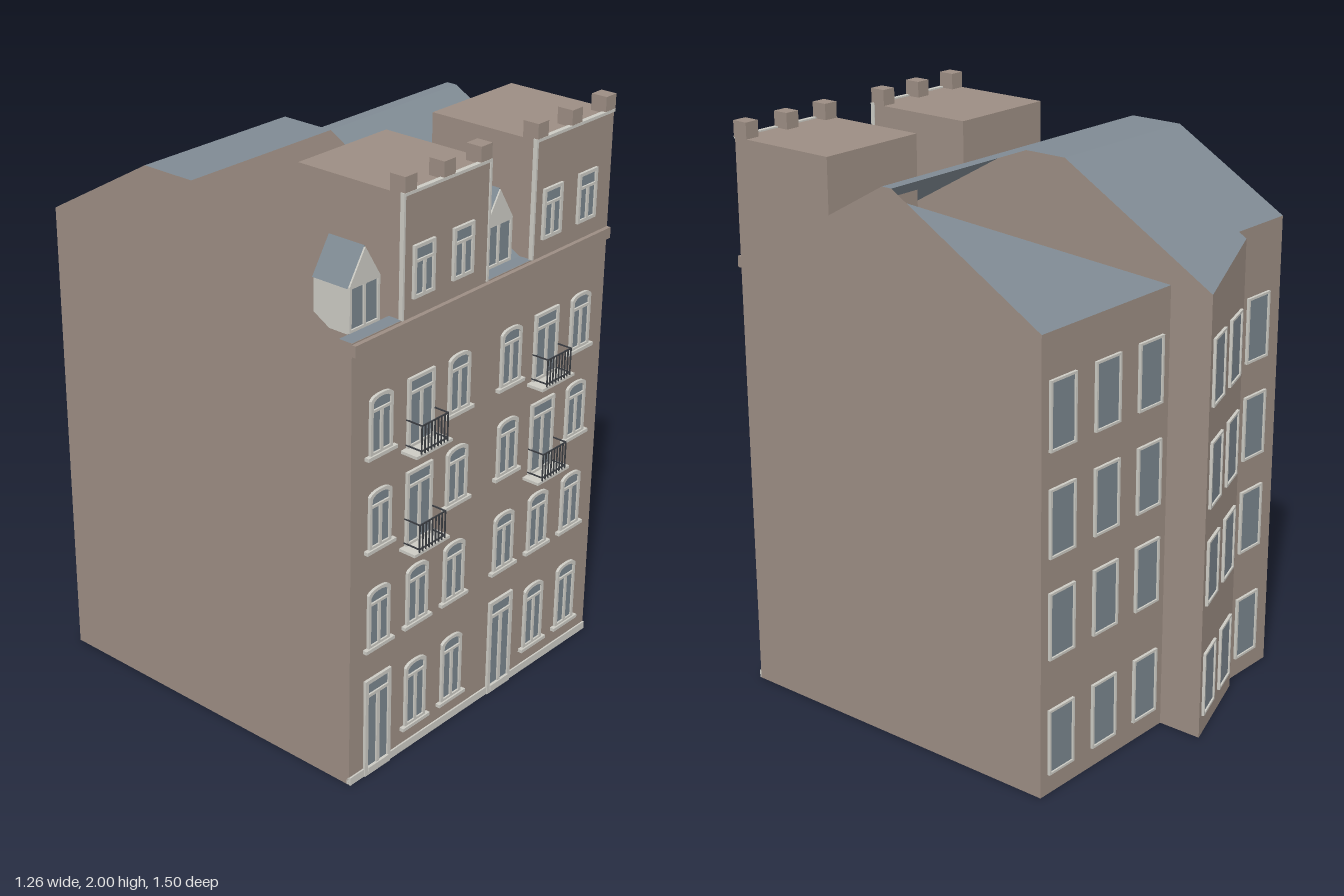
import * as THREE from 'three';

const mat = (name, color) => new THREE.MeshStandardMaterial({ name, color, side: THREE.DoubleSide });

export function createModel() {
  const wall = mat('wall brown', 0x9c8d83);
  const slate = mat('slate blue', 0x7f8a93);
  const glass = mat('glass blue', 0x7a858e);
  const cream = mat('cream trim', 0xcbcac3);
  const iron = mat('dark iron', 0x3a3d42);
  const root = new THREE.Group();
  const W = 0.632, FZ = 0.685, BZ = -0.59, P = -0.006; // half width, front, back, party wall

  const add = (name, geo, m, parent = root) => {
    const mesh = new THREE.Mesh(geo, m);
    mesh.name = name;
    parent.add(mesh);
    return mesh;
  };
  // box given by its minimum and maximum corners
  const box = (name, [x0, y0, z0], [x1, y1, z1], m, parent) =>
    add(name, new THREE.BoxGeometry(x1 - x0, y1 - y0, z1 - z0)
      .translate((x0 + x1) / 2, (y0 + y1) / 2, (z0 + z1) / 2), m, parent);
  // flat polygon as a fan from its first corner
  const poly = (name, pts, m, parent) => {
    const v = [];
    for (let i = 1; i < pts.length - 1; i++) v.push(...pts[0], ...pts[i], ...pts[i + 1]);
    const g = new THREE.BufferGeometry();
    g.setAttribute('position', new THREE.Float32BufferAttribute(v, 3));
    g.computeVertexNormals();
    return add(name, g, m, parent);
  };
  const backY = z => 1.89 + (z + 0.16) * 0.34 / 0.59; // rear roof height of the deeper house

  // ---- hollow shell: floor, front, gables, rear walls
  poly('floor', [[P, 0, BZ], [-0.375, 0, BZ], [-W, 0, BZ], [-W, 0, FZ], [W, 0, FZ], [W, 0, BZ]], wall);
  poly('rearFloor', [[P, 0, BZ], [P, 0, -0.75], [-0.375, 0, -0.62], [-0.375, 0, BZ]], wall);
  poly('frontWall', [[-W, 0, FZ], [W, 0, FZ], [W, 1.55, FZ], [-W, 1.55, FZ]], wall);
  const gable = (name, x, rear) => poly(name,
    [[rear[0][0], 0], [FZ, 0], [FZ, 1.55], [0.64, 1.55], [0.04, 1.89], ...rear.slice().reverse()]
      .map(([z, y]) => [x, y, z]), wall);
  gable('leftGable', W, [[BZ, 1.55], [0, 1.89]]);
  gable('rightGable', -W, [[BZ, backY(BZ)], [-0.16, 1.89]]);
  gable('partyWall', P, [[-0.75, 1.55], [-0.16, 1.89]]);
  const rearWall = (name, x0, z0, x1, z1, y0, y1) =>
    poly(name, [[x1, 0, z1], [x0, 0, z0], [x0, y0, z0], [x1, y1, z1]], wall);
  rearWall('rearWallLeft', P, BZ, W, BZ, 1.55, 1.55);
  rearWall('rearWallRight', -W, BZ, -0.375, BZ, backY(BZ), backY(BZ));
  rearWall('rearStep', -0.375, BZ, -0.375, -0.62, backY(BZ), backY(-0.62));
  rearWall('rearAngledWall', -0.375, -0.62, P, -0.75, backY(-0.62), 1.55);

  // ---- roofs, partly open
  poly('rearRoofRight', [[-0.375, BZ], [-W, BZ], [-W, -0.16], [P, -0.16], [P, -0.75], [-0.375, -0.62]]
    .map(([x, z]) => [x, backY(z), z]), slate);
  const flat = (name, x0, x1, z0, z1, y) =>
    poly(name, [[x0, y, z1], [x1, y, z1], [x1, y, z0], [x0, y, z0]], slate);
  flat('ridgeRight', -W, P, -0.16, 0.04, 1.89);
  flat('ridgeLeft', P, W, 0, 0.04, 1.89);
  poly('rearRoofLeft', [[P, 1.55, BZ], [W, 1.855, -0.06], [W, 1.55, BZ]], slate);
  poly('frontRoofLeft', [[P, 1.55, 0.64], [W, 1.55, 0.64], [W, 1.89, 0.04], [P, 1.89, 0.04]], slate);
  flat('eaveRight', -W, -0.41, 0.635, FZ, 1.551);
  flat('eaveLeft', P, 0.222, 0.635, FZ, 1.551);

  // ---- cornice and plinth
  box('cornice', [-W, 1.508, FZ - 0.01], [W, 1.546, 0.7], wall);
  box('plinth', [-W, 0, FZ - 0.01], [W, 0.028, FZ + 0.006], cream);

  // ---- framed opening: cream frame with panes cut out over a glass plate
  const rect = (x0, y0, x1, y1) => [[x0, y0], [x1, y0], [x1, y1], [x0, y1]].map(p => new THREE.Vector2(...p));
  function opening(name, parent, x, y, w, h, { arch = 0, panes = 2, top = 0.045, t = 0.011, sill = 0 } = {}) {
    const g = new THREE.Group();
    g.name = name;
    g.position.set(x, y, 0);
    parent.add(g);
    const outline = (hw, y0, y1) => {
      const s = new THREE.Shape();
      s.moveTo(-hw, y0).lineTo(hw, y0).lineTo(hw, y1 - arch);
      if (arch) s.quadraticCurveTo(hw * 0.8, y1, 0, y1).quadraticCurveTo(-hw * 0.8, y1, -hw, y1 - arch);
      else s.lineTo(-hw, y1);
      s.closePath();
      return s;
    };
    const s = outline(w / 2, 0, h);
    const inner = w / 2 - t, split = top ? h - t - top : h - t;
    const pw = (2 * inner - (panes - 1) * t) / panes;
    for (let i = 0; i < panes; i++) {
      const x0 = -inner + i * (pw + t);
      s.holes.push(new THREE.Path(rect(x0, t, x0 + pw, split)));
    }
    if (top) s.holes.push(new THREE.Path(outline(inner, split + t * 0.8, h - t).getPoints(6)));
    add('frame', new THREE.ExtrudeGeometry(s, { depth: 0.01, bevelEnabled: false, curveSegments: 6 }), cream, g);
    add('pane', new THREE.ShapeGeometry(outline(w / 2 - 0.003, 0.002, h - 0.002), 6), glass, g).position.z = 0.004;
    if (sill) box('sill', [-sill / 2, -0.009, 0], [sill / 2, 0.003, 0.016], cream, g);
    return g;
  }

  // ---- balcony with thin iron railing
  function balcony(parent, x, y) {
    const g = new THREE.Group();
    g.name = 'balcony';
    g.position.set(x, y, 0);
    parent.add(g);
    box('slab', [-0.086, -0.008, 0], [0.086, 0.002, 0.064], cream, g);
    const r = 0.002, hw = 0.062, zf = 0.064;
    for (const yy of [0.012, 0.098]) {
      box('rail', [-hw, yy - r, zf - 2 * r], [hw, yy + r, zf], iron, g);
      for (const sx of [-hw, hw]) box('sideRail', [sx - r, yy - r, 0], [sx + r, yy + r, zf], iron, g);
    }
    for (let i = 0; i <= 8; i++) {
      const bx = -hw + (2 * hw * i) / 8;
      box('bar', [bx - r, 0, zf - 2 * r], [bx + r, 0.1, zf], iron, g);
    }
  }

  // ---- dormer with a pointed roof
  function dormer(x) {
    const g = new THREE.Group();
    g.name = 'dormer';
    g.position.set(x, 0, 0);
    root.add(g);
    box('dormerBody', [-0.066, 1.55, 0.5], [0.066, 1.7, 0.632], cream, g);
    const s = new THREE.Shape([[-0.068, 1.7], [0.068, 1.7], [0, 1.808]].map(p => new THREE.Vector2(...p)));
    add('pediment', new THREE.ExtrudeGeometry(s, { depth: 0.142, bevelEnabled: false }), cream, g).position.z = 0.5;
    for (const sx of [-1, 1])
      poly('dormerRoof', [[sx * 0.073, 1.697, 0.5], [sx * 0.073, 1.697, 0.638],
        [0, 1.812, 0.638], [0, 1.812, 0.5]], slate, g);
    const f = new THREE.Group();
    f.position.z = 0.632;
    g.add(f);
    opening('dormerWindow', f, 0, 1.555, 0.134, 0.147, { top: 0, t: 0.009 });
  }

  // ---- the two matching street fronts
  const rows = [[0.09, 0.24], [0.475, 0.21], [0.83, 0.2], [1.153, 0.2]];
  for (const hx of [-0.632, 0]) {
    const f = new THREE.Group();
    f.name = 'streetFront';
    f.position.set(hx, 0, FZ);
    root.add(f);
    const cols = [0.129, 0.315, 0.5];
    rows.forEach(([y, h], r) => cols.forEach((x, c) => {
      if (r === 0 && c === 0) return;
      if (r > 1 && c === 1) {
        const y0 = r === 2 ? 0.77 : 1.113;
        opening('balconyDoor', f, x, y0, 0.124, (r === 2 ? 1.03 : 1.35) - y0);
        balcony(f, x, y0);
      } else opening('window', f, x, y, 0.102, h, { arch: 0.016, sill: 0.135 });
    }));
    // entrance door
    opening('entranceDoor', f, 0.129, 0, 0.124, 0.36, { top: 0.05, t: 0.014 });
    box('doorLeafTrim', [0.08, 0.014, 0], [0.178, 0.03, 0.014], cream, f);

    // tall roof block with windows, trim and piers
    const x0 = 0.222, x1 = hx ? 0.626 : 0.632;
    box('roofBlock', [x0 + hx, 1.55, 0.272], [x1 + hx, 1.945, FZ], wall);
    for (const x of cols.slice(1)) opening('upperWindow', f, x, 1.606, 0.098, 0.17);
    box('copingTrim', [x0, 1.94, -0.01], [x1, 1.95, 0.006], cream, f);
    box('edgeTrim', [x0 - 0.003, 1.55, -0.01], [x0 + 0.005, 1.95, 0.005], cream, f);
    if (hx) box('edgeTrim', [x1 - 0.004, 1.55, -0.01], [x1 + 0.004, 1.95, 0.005], cream, f);
    for (const px of [x0, 0.399, x1 - 0.053])
      box('pier', [px, 1.945, -0.053], [px + 0.053, 2, 0.005], wall, f);
    dormer(hx + 0.106);
  }

  // ---- rear windows
  const rear = (x, z, angle, xs, w) => {
    const g = new THREE.Group();
    g.name = 'rearWindows';
    g.position.set(x, 0, z);
    g.rotation.y = angle;
    root.add(g);
    for (const wx of xs) for (const y of [0.07, 0.475, 0.82, 1.17])
      opening('rearWindow', g, wx, y, w, 0.23, { panes: 1, top: 0, t: 0.008 });
  };
  rear(0.315, BZ, Math.PI, [-0.22, 0, 0.22], 0.125);
  rear(-0.5, BZ, Math.PI, [0], 0.125);
  rear(-0.19, -0.685, Math.atan2(-0.13, -0.37), [-0.105, 0.09], 0.13);

  return root;
}
